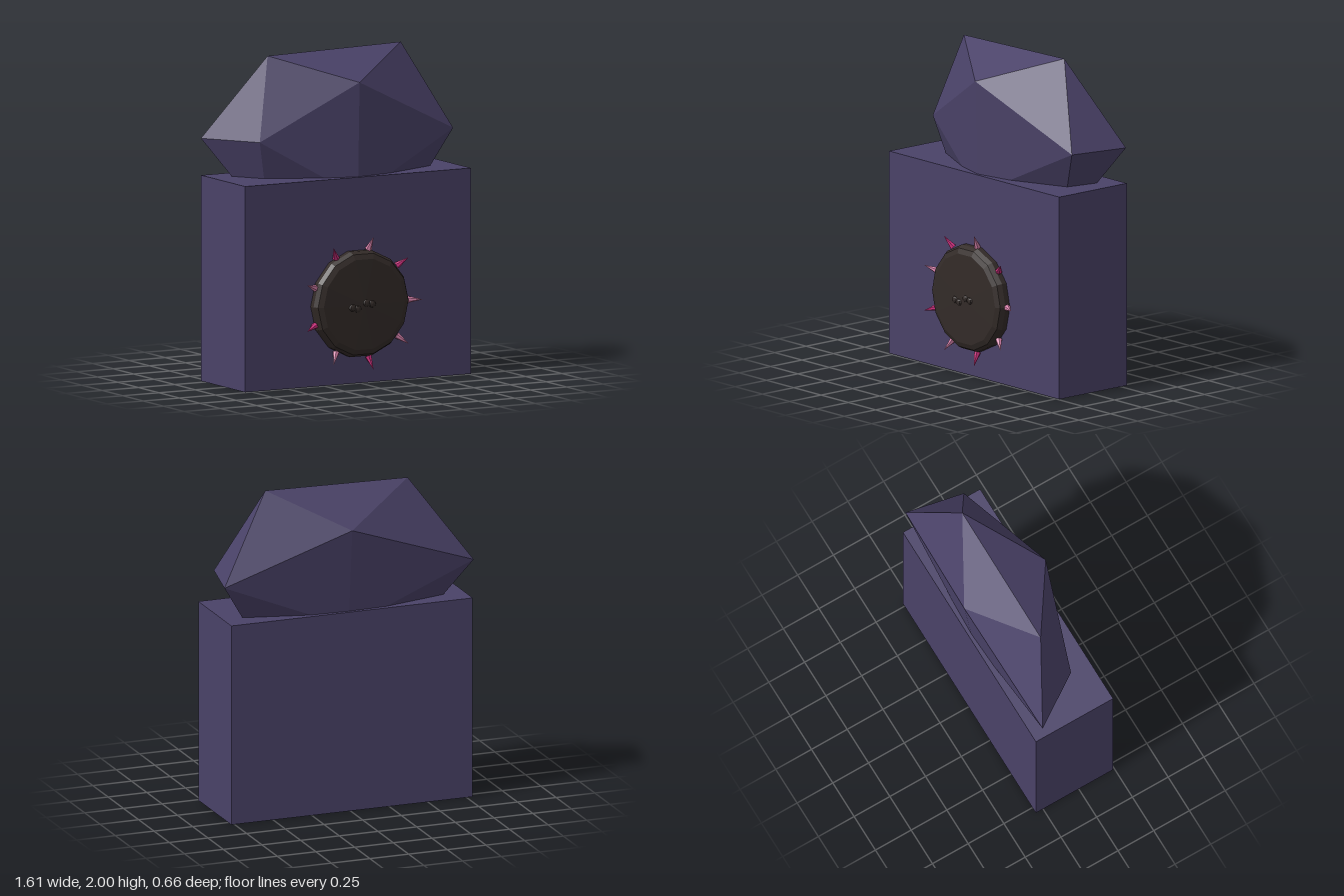
import * as THREE from 'three';
import { ConvexGeometry } from 'three/addons/geometries/ConvexGeometry.js';

const mat = (name, color) => {
  const m = new THREE.MeshStandardMaterial({ color });
  m.name = name;
  return m;
};

export function createModel() {
  const stone = mat('purple stone', 0x4a4268);
  const dark = mat('dark brown', 0x332b28);
  const magenta = mat('magenta', 0xd0307f);
  const pink = mat('pale pink', 0xd982ac);

  const model = new THREE.Group();
  model.name = 'stonePillar';
  const add = (name, geometry, material, parent = model) => {
    // Unshared vertices give every facet its own flat normal
    const flat = geometry.index ? geometry.toNonIndexed() : geometry;
    flat.computeVertexNormals();
    const mesh = new THREE.Mesh(flat, material);
    mesh.name = name;
    parent.add(mesh);
    return mesh;
  };

  // Block base
  add('base', new THREE.BoxGeometry(1.56, 1.25, 0.54), stone).position.set(-0.01, 0.625, -0.03);

  // Faceted boulder: an irregular icosahedron sunk into the block
  const corners = [
    [-0.46, 1.98, -0.07], [0.46, 2.0, -0.07],
    [0, 1.825, 0.24], [0, 1.77, -0.33],
    [-0.81, 1.48, -0.265], [0.8, 1.48, -0.265],
    [-0.59, 1.48, 0.065], [0.725, 1.48, 0.1],
    [0, 1.13, 0.22], [0, 1.15, -0.27],
    [-0.46, 0.97, -0.05], [0.46, 0.97, -0.05],
  ].map((p) => new THREE.Vector3(...p));
  add('boulder', new ConvexGeometry(corners), stone);

  // Round emblem on the front face
  const emblem = new THREE.Group();
  emblem.name = 'emblem';
  emblem.position.set(-0.01, 0.487, 0);
  model.add(emblem);

  // Bevelled fourteen-sided disc
  const profile = [[0.328, 0.22], [0.328, 0.275], [0.312, 0.303], [0.28, 0.317], [0, 0.322]]
    .map(([r, z]) => new THREE.Vector2(r, z));
  const disc = new THREE.LatheGeometry(profile, 14, Math.PI / 14);
  disc.rotateX(Math.PI / 2);
  add('disc', disc, dark, emblem);

  // Small knobs in the middle of the disc
  for (const [x, y] of [[-0.083, -0.015], [-0.047, -0.025], [0.013, 0.008], [0.052, 0.0]]) {
    const knob = add('knob', new THREE.SphereGeometry(0.025, 8, 6), dark, emblem);
    knob.scale.set(1, 0.85, 0.5);
    knob.position.set(x, y, 0.32);
  }

  // Ring of spikes leaning forward, in alternating colours
  const up = new THREE.Vector3(0, 1, 0);
  for (let i = 0; i < 9; i++) {
    const a = (i * Math.PI * 2) / 9;
    const at = (r, z) => new THREE.Vector3(r * Math.cos(a), r * Math.sin(a), z);
    const foot = at(0.33, 0.263), tip = at(0.41, 0.303);
    const spike = add('spike', new THREE.ConeGeometry(0.021, foot.distanceTo(tip), 6), i % 2 ? magenta : pink, emblem);
    spike.position.copy(foot).lerp(tip, 0.5);
    spike.quaternion.setFromUnitVectors(up, tip.sub(foot).normalize());
  }

  return model;
}
